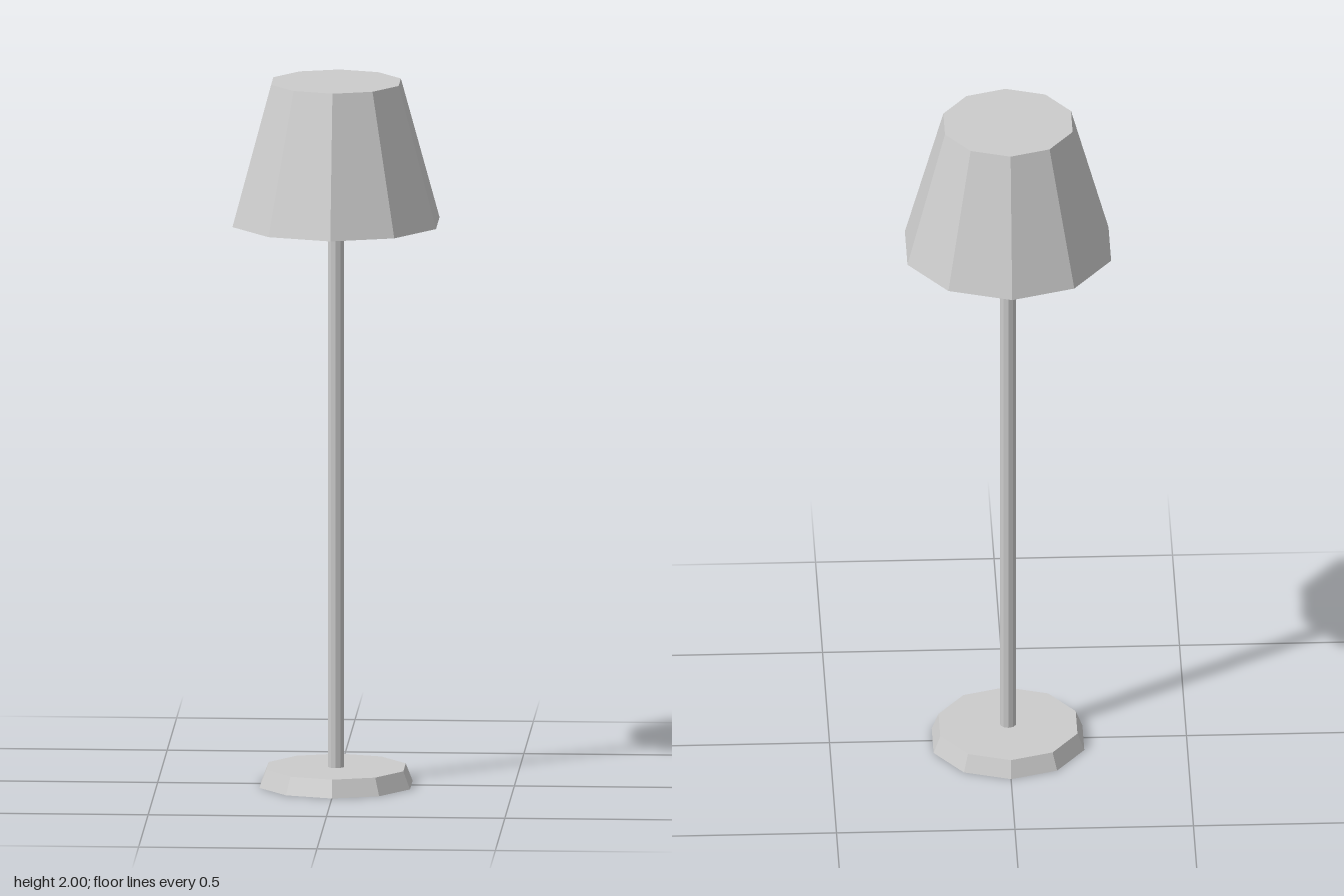
import * as THREE from 'three';

const SIDES = 10;

export function createModel() {
  const lamp = new THREE.Group();
  lamp.name = 'floorLamp';

  const lightGrey = new THREE.MeshStandardMaterial({ color: 0xcccccc, flatShading: true });
  lightGrey.name = 'lightGrey';

  // Closed ten-sided taper between two heights
  const addTaper = (name, bottomRadius, topRadius, bottomY, topY) => {
    const height = topY - bottomY;
    const geometry = new THREE.CylinderGeometry(topRadius, bottomRadius, height, SIDES);
    const mesh = new THREE.Mesh(geometry, lightGrey);
    mesh.name = name;
    mesh.position.y = bottomY + height / 2;
    lamp.add(mesh);
  };

  addTaper('base', 0.222, 0.202, 0, 0.05);
  addTaper('pole', 0.023, 0.023, 0.05, 1.6);
  addTaper('lampshade', 0.3, 0.188, 1.6, 2);

  return lamp;
}
